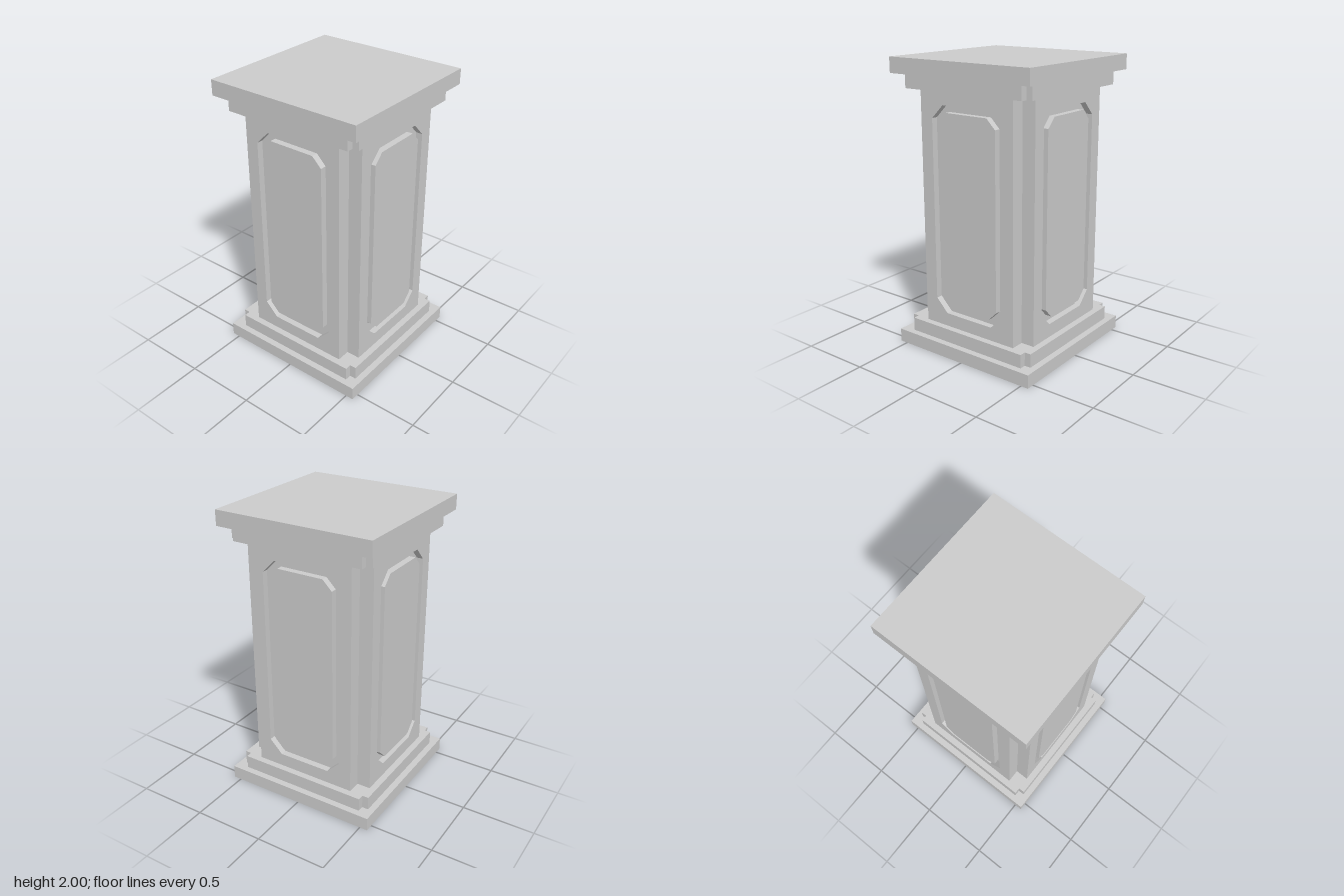
import * as THREE from 'three';

const material = new THREE.MeshStandardMaterial({ color: 0xcccccc, flatShading: true });

// Square outline of half-size h with its corners cut back to w
function crossShape(h, w) {
  const quarter = [[h, -w], [h, w], [w, w]];
  const points = [];
  for (let i = 0; i < 4; i++) {
    for (const [x, y] of quarter) {
      const [c, s] = [[1, 0], [0, 1], [-1, 0], [0, -1]][i];
      points.push(new THREE.Vector2(x * c - y * s, x * s + y * c));
    }
  }
  return new THREE.Shape(points);
}

// Upright rectangle with chamfered corners
function octagon(half, bottom, top, cut) {
  return [
    [half - cut, bottom], [half, bottom + cut], [half, top - cut], [half - cut, top],
    [cut - half, top], [-half, top - cut], [-half, bottom + cut], [cut - half, bottom],
  ].map(([x, y]) => new THREE.Vector2(x, y));
}

const extrude = (shape, depth) =>
  new THREE.ExtrudeGeometry(shape, { depth, bevelEnabled: false });

export function createModel() {
  const group = new THREE.Group();
  group.name = 'pedestal';

  const add = (parent, name, geometry) => {
    const mesh = new THREE.Mesh(geometry, material);
    mesh.name = name;
    parent.add(mesh);
    return mesh;
  };
  const slab = (name, y0, y1) =>
    add(group, name, new THREE.BoxGeometry(1.11, y1 - y0, 1.11)).position.y = (y0 + y1) / 2;
  const cross = (name, h, w, y0, y1) =>
    add(group, name, extrude(crossShape(h, w), y1 - y0).rotateX(-Math.PI / 2)).position.y = y0;

  // Stepped base, shaft core and stepped cap
  slab('plinth', 0, 0.093);
  cross('baseStep', 0.51, 0.465, 0.093, 0.187);
  cross('shaftCore', 0.42, 0.37, 0.187, 1.8);
  cross('capStep', 0.51, 0.465, 1.8, 1.895);
  slab('capSlab', 1.895, 2);

  // Four faces: a frame and a flush centre panel divided by a groove
  const frame = new THREE.Shape([
    [-0.37, 0.187], [0.37, 0.187], [0.37, 1.8], [-0.37, 1.8],
  ].map(([x, y]) => new THREE.Vector2(x, y)));
  frame.holes.push(new THREE.Path(octagon(0.28, 0.28, 1.71, 0.092).reverse()));
  const frameGeometry = extrude(frame, 0.045).translate(0, 0, 0.42);
  const panelGeometry = extrude(
    new THREE.Shape(octagon(0.233, 0.327, 1.663, 0.066)), 0.045).translate(0, 0, 0.42);

  for (const [i, side] of ['front', 'left', 'back', 'right'].entries()) {
    const face = new THREE.Group();
    face.name = side + 'Face';
    face.rotation.y = i * Math.PI / 2;
    add(face, side + 'Frame', frameGeometry);
    add(face, side + 'Panel', panelGeometry);
    group.add(face);
  }
  return group;
}
